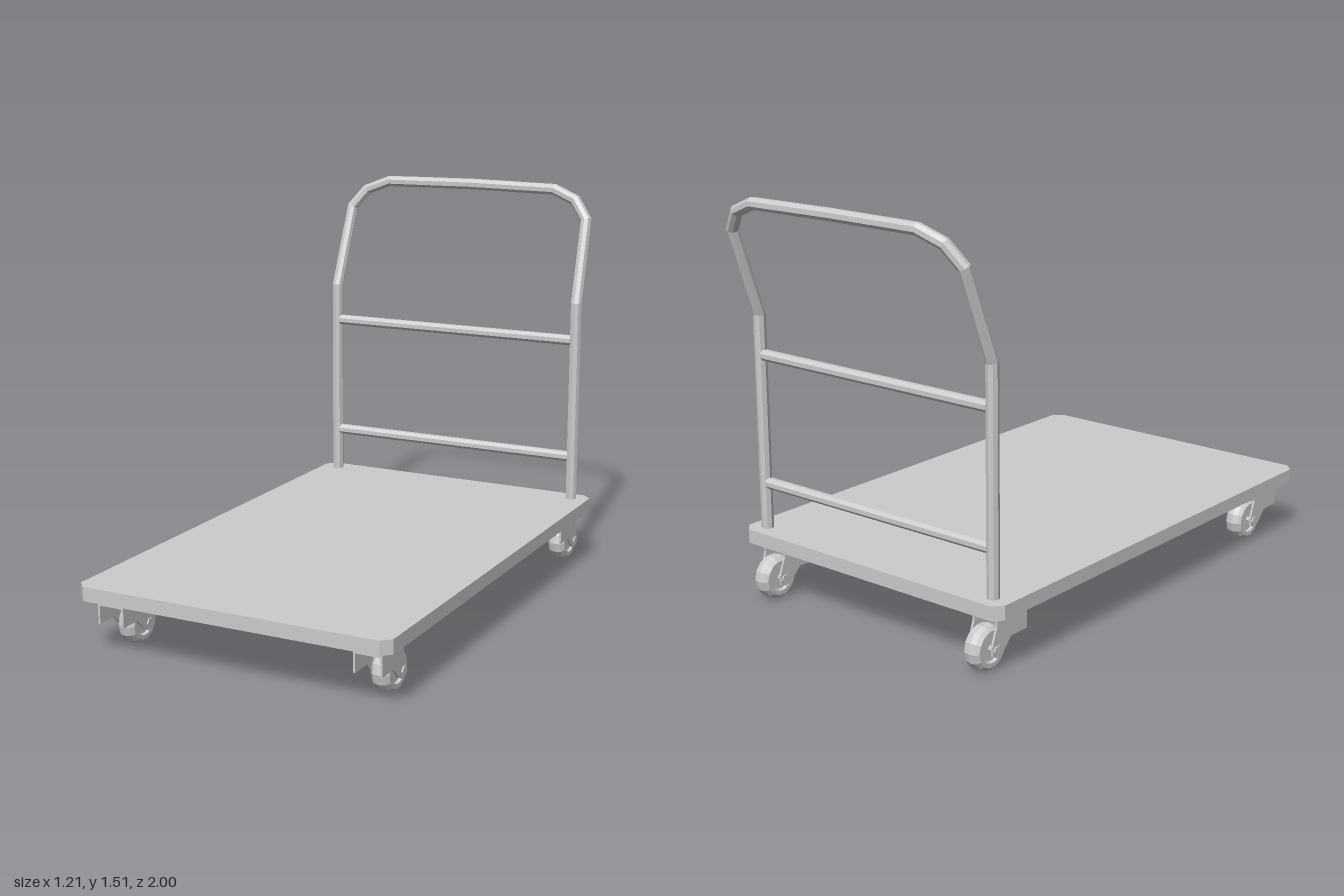
import * as THREE from 'three';

const material = new THREE.MeshStandardMaterial({ color: 0xcccccc, flatShading: true });

function add(parent, name, geometry, x = 0, y = 0, z = 0) {
  const mesh = new THREE.Mesh(geometry, material);
  mesh.name = name;
  mesh.position.set(x, y, z);
  parent.add(mesh);
  return mesh;
}

// Curve through straight segments, one tube ring per corner
class CornerPath extends THREE.Curve {
  constructor(points) {
    super();
    this.points = points;
  }
  getPointAt(u, target = new THREE.Vector3()) {
    return target.copy(this.points[Math.round(u * (this.points.length - 1))]);
  }
  getTangentAt(u, target = new THREE.Vector3()) {
    const p = this.points, i = Math.round(u * (p.length - 1));
    const before = p[i].clone().sub(p[Math.max(i - 1, 0)]).normalize();
    const after = p[Math.min(i + 1, p.length - 1)].clone().sub(p[i]).normalize();
    return target.copy(before.add(after)).normalize();
  }
}

// Deck: slab with cut corners
function buildDeck(parent) {
  const x = 0.605, front = 1, back = 0.87, c = 0.035;
  const outline = [
    [-x + c, -front], [x - c, -front], [x, -front + c], [x, back - c],
    [x - c, back], [-x + c, back], [-x, back - c], [-x, -front + c],
  ].map(([a, b]) => new THREE.Vector2(a, b));
  const geometry = new THREE.ExtrudeGeometry(new THREE.Shape(outline), { depth: 0.052, bevelEnabled: false });
  geometry.rotateX(-Math.PI / 2);
  add(parent, 'deck', geometry, 0, 0.21, 0);
}

// Push handle: bent tube with two cross rails
function buildHandle(parent) {
  const handle = new THREE.Group();
  handle.name = 'handle';
  const half = [
    [0.534, 0.25, -0.81], [0.534, 1.06, -0.81], [0.523, 1.38, -0.927],
    [0.467, 1.452, -0.954], [0.37, 1.49, -0.97],
  ].map((p) => new THREE.Vector3(...p));
  const mirrored = half.map((p) => new THREE.Vector3(-p.x, p.y, p.z)).reverse();
  const middle = new THREE.Vector3(0, 1.494, -0.976);
  const points = [...half, middle, ...mirrored];
  add(handle, 'handleTube', new THREE.TubeGeometry(new CornerPath(points), points.length - 1, 0.0225, 8));
  for (const y of [0.435, 0.912]) {
    const rail = new THREE.CylinderGeometry(0.021, 0.021, 1.04, 8);
    rail.rotateY(Math.PI / 8).rotateZ(Math.PI / 2);
    add(handle, 'crossRail', rail, 0, y, -0.81);
  }
  parent.add(handle);
}

// Caster: origin on the ground under the axle, swivel toward +z
function buildCaster() {
  const caster = new THREE.Group();
  caster.name = 'caster';

  // Tyre and hub
  const profile = [
    [0.001, -0.024], [0.045, -0.024], [0.05, -0.034], [0.066, -0.034], [0.078, -0.022],
    [0.082, 0], [0.078, 0.022], [0.066, 0.034], [0.05, 0.034], [0.045, 0.024], [0.001, 0.024],
  ].map(([r, h]) => new THREE.Vector2(r, h));
  const wheel = new THREE.LatheGeometry(profile, 14);
  wheel.rotateZ(Math.PI / 2);
  add(caster, 'wheel', wheel, 0, 0.083, 0);

  // Axle with end nuts
  const axle = new THREE.CylinderGeometry(0.011, 0.011, 0.11, 8);
  axle.rotateZ(Math.PI / 2);
  add(caster, 'axle', axle, 0, 0.083, 0);
  for (const side of [-1, 1]) {
    const nut = new THREE.CylinderGeometry(0.018, 0.018, 0.01, 6);
    nut.rotateZ(Math.PI / 2);
    add(caster, 'axleNut', nut, side * 0.053, 0.083, 0);
  }

  // Fork cheeks
  const cheek = new THREE.Shape([
    [0.158, 0.2], [0.002, 0.2], [0.002, 0.165], [-0.022, 0.1], [-0.02, 0.065],
    [0.005, 0.055], [0.035, 0.07], [0.075, 0.112], [0.158, 0.112],
  ].map(([z, y]) => new THREE.Vector2(-z, y)));
  for (const x of [-0.049, 0.049]) {
    const geometry = new THREE.ExtrudeGeometry(cheek, { depth: 0.008, bevelEnabled: false });
    geometry.translate(0, 0, -0.004).rotateY(Math.PI / 2);
    add(caster, 'forkCheek', geometry, x, 0, 0);
  }

  // Fork crown and swivel bearing
  add(caster, 'forkCrown', new THREE.BoxGeometry(0.106, 0.022, 0.156), 0, 0.19, 0.08);
  add(caster, 'swivel', new THREE.CylinderGeometry(0.05, 0.05, 0.014, 12), 0, 0.206, 0.085);
  return caster;
}

export function createModel() {
  const model = new THREE.Group();
  model.name = 'platformCart';
  buildDeck(model);
  buildHandle(model);
  for (const x of [-0.5, 0.5]) {
    for (const z of [0.783, -0.815]) {
      const caster = buildCaster();
      caster.position.set(x, 0, z);
      model.add(caster);
    }
  }
  return model;
}
